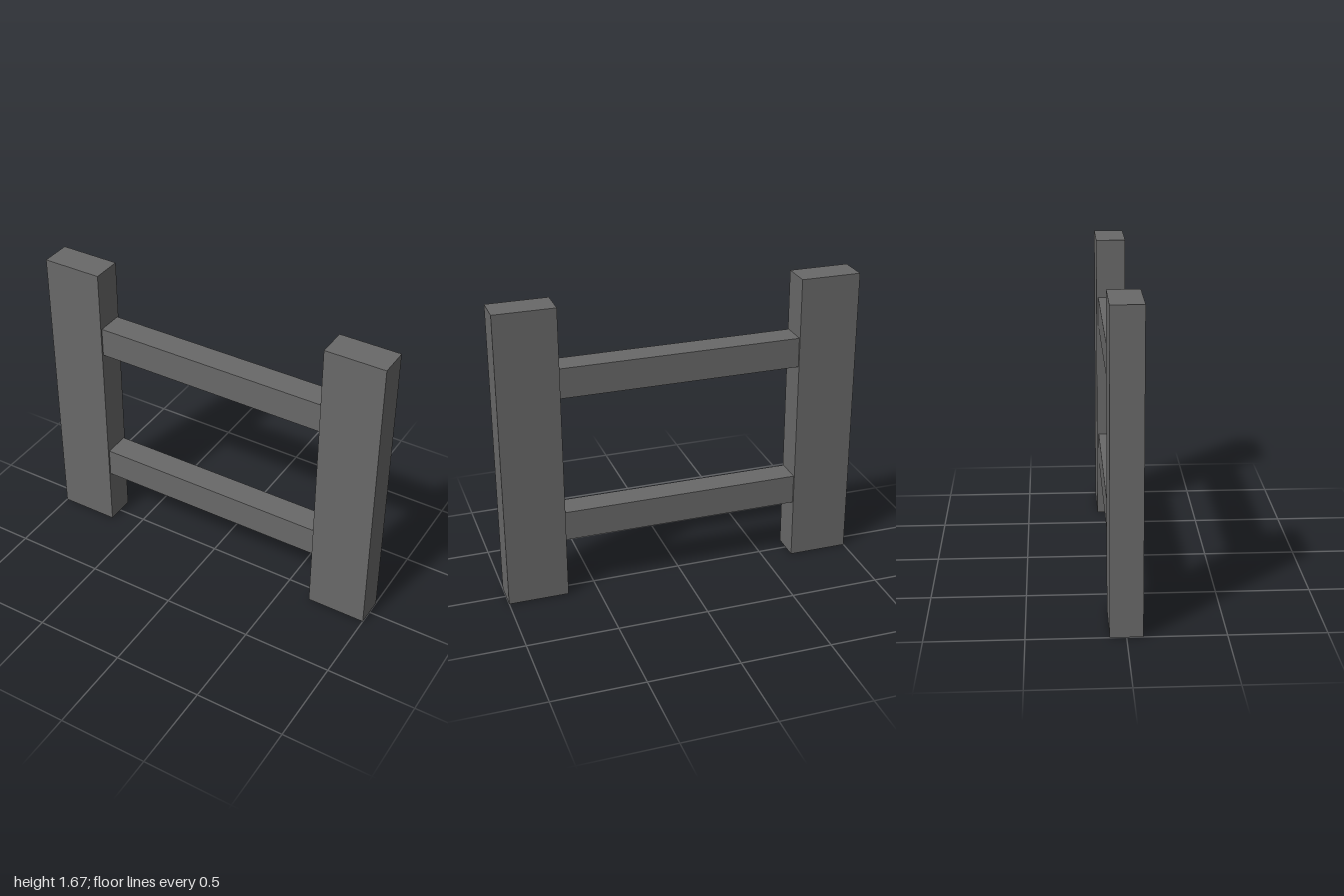
import * as THREE from 'three';

export function createModel() {
  const model = new THREE.Group();
  model.name = 'fenceSection';

  const grey = new THREE.MeshStandardMaterial({ color: 0x696969 });
  grey.name = 'grey';

  const addBox = (name, size, position) => {
    const mesh = new THREE.Mesh(new THREE.BoxGeometry(...size), grey);
    mesh.name = name;
    mesh.position.set(...position);
    model.add(mesh);
  };

  const height = 1.674, postWidth = 0.334, postDepth = 0.167;

  // Upright posts at both ends
  for (const [name, side] of [['leftPost', 1], ['rightPost', -1]]) {
    addBox(name, [postWidth, height, postDepth], [side * (1 - postWidth / 2), height / 2, 0]);
  }

  // Cross rails, slightly thinner than the posts
  for (const [name, y] of [['lowerRail', 0.42], ['upperRail', 1.256]]) {
    addBox(name, [2 - 2 * postWidth, 0.167, 0.147], [0, y, 0]);
  }

  return model;
}
